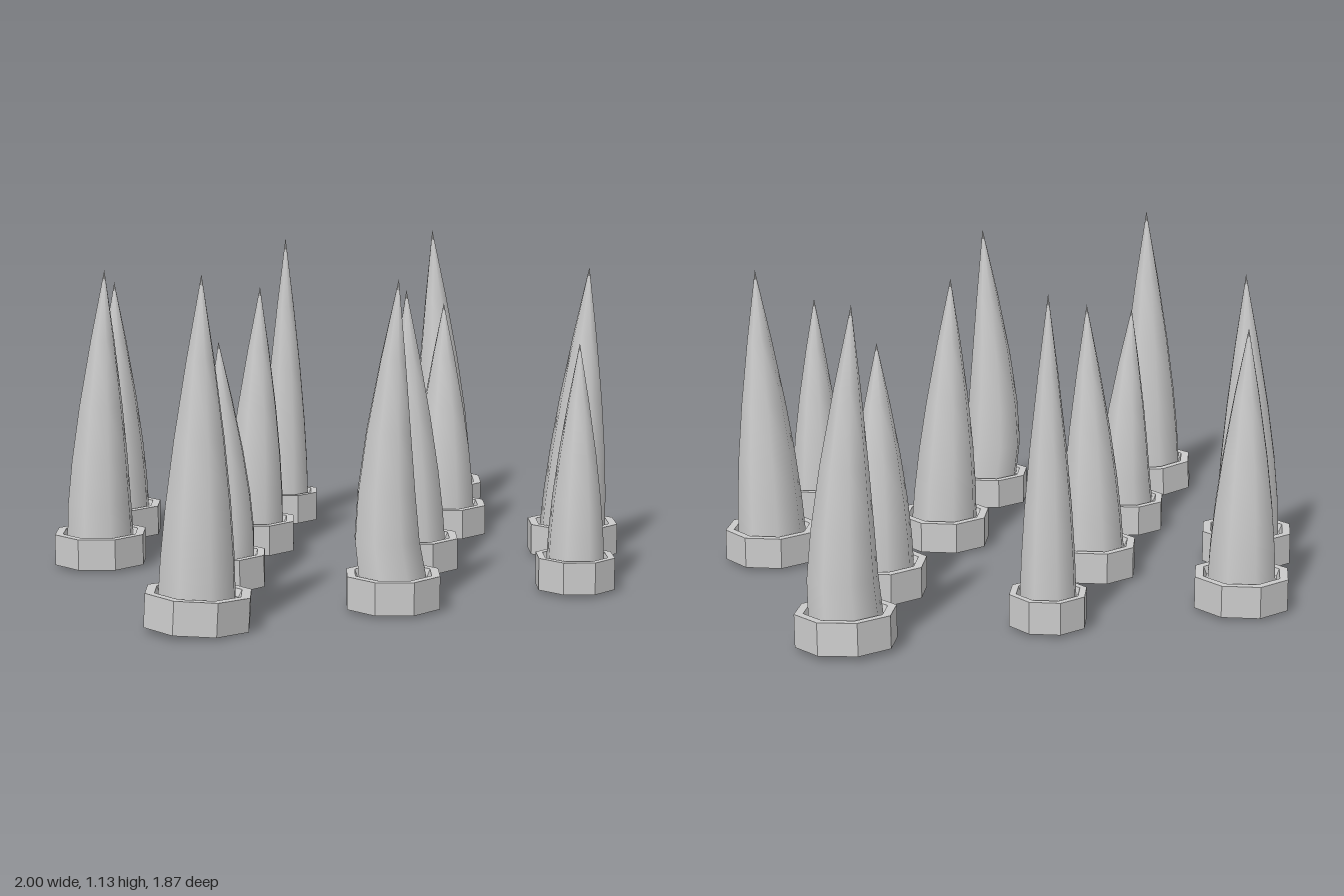
import * as THREE from 'three';

// Per spike: base x, z, collar radius, tip x, z, height, mid-bend x, z
const SPIKES = [
  [-0.60, -0.76, 0.17, -0.60, -0.77, 0.97, 0, 0],
  [0.09, -0.76, 0.135, 0.09, -0.745, 1.12, 0, 0],
  [0.775, -0.76, 0.17, 0.75, -0.80, 1.13, 0.02, -0.015],
  [-0.82, -0.275, 0.17, -0.785, -0.295, 1.06, -0.01, 0.01],
  [-0.23, -0.275, 0.16, -0.20, -0.275, 0.98, 0, 0],
  [0.55, -0.275, 0.17, 0.55, -0.28, 0.89, 0, 0],
  [-0.535, 0.235, 0.15, -0.55, 0.235, 0.85, 0.01, 0],
  [0.18, 0.235, 0.17, 0.15, 0.24, 1.0, 0, 0],
  [0.83, 0.235, 0.17, 0.86, 0.28, 1.06, 0, 0],
  [-0.82, 0.755, 0.18, -0.80, 0.77, 1.13, 0, 0],
  [-0.135, 0.755, 0.165, -0.12, 0.76, 1.09, -0.03, 0],
  [0.55, 0.755, 0.14, 0.55, 0.765, 0.85, 0, 0],
];
// Slight collar tilts by spike index: [rotation x, rotation z]
const TILTS = { 2: [0.055, 0], 9: [0, -0.055] };

const SIDES = 8;
const smooth = new THREE.MeshStandardMaterial({ color: 0xcccccc, side: THREE.DoubleSide });
const faceted = new THREE.MeshStandardMaterial({ color: 0xcccccc, side: THREE.DoubleSide, flatShading: true });

// Octagonal socket, hollow below, with a shallow recess around the spike
function collar(r) {
  const profile = [[r, 0], [r, 0.11], [0.82 * r, 0.11], [0.76 * r, 0.085], [0, 0.085]];
  const geo = new THREE.LatheGeometry(profile.map(p => new THREE.Vector2(...p)), SIDES);
  const mesh = new THREE.Mesh(geo, faceted);
  mesh.name = 'collar';
  return mesh;
}

// Tapered spike whose rings drift from the base towards the tip
function spike(r, dx, dz, height, bendX, bendZ) {
  const base = 0.095, len = height - base;
  const profile = [[0.73, 0], [0.69, 0.14], [0.61, 0.3], [0.47, 0.5], [0.26, 0.74], [0, 1]];
  const geo = new THREE.LatheGeometry(
    profile.map(([k, t]) => new THREE.Vector2(k * r, base + t * len)), SIDES);
  const pos = geo.attributes.position;
  for (let i = 0; i < pos.count; i++) {
    const t = (pos.getY(i) - base) / len;
    const bend = Math.sin(Math.PI * Math.pow(Math.max(t, 0), 0.6));
    pos.setX(i, pos.getX(i) + dx * t + bendX * bend);
    pos.setZ(i, pos.getZ(i) + dz * t + bendZ * bend);
  }
  const mesh = new THREE.Mesh(geo, smooth);
  mesh.name = 'spike';
  return mesh;
}

export function createModel() {
  const model = new THREE.Group();
  model.name = 'spikeTrap';
  SPIKES.forEach(([x, z, r, tipX, tipZ, height, bendX, bendZ], i) => {
    const unit = new THREE.Group();
    unit.name = 'spikeUnit' + (i + 1);
    unit.position.set(x, 0, z);
    const ring = collar(r);
    const [rx, rz] = TILTS[i] || [0, 0];
    ring.position.y = 0.01;
    ring.rotation.set(rx, 0, rz);
    unit.add(ring, spike(r, tipX - x, tipZ - z, height, bendX, bendZ));
    model.add(unit);
  });
  return model;
}
